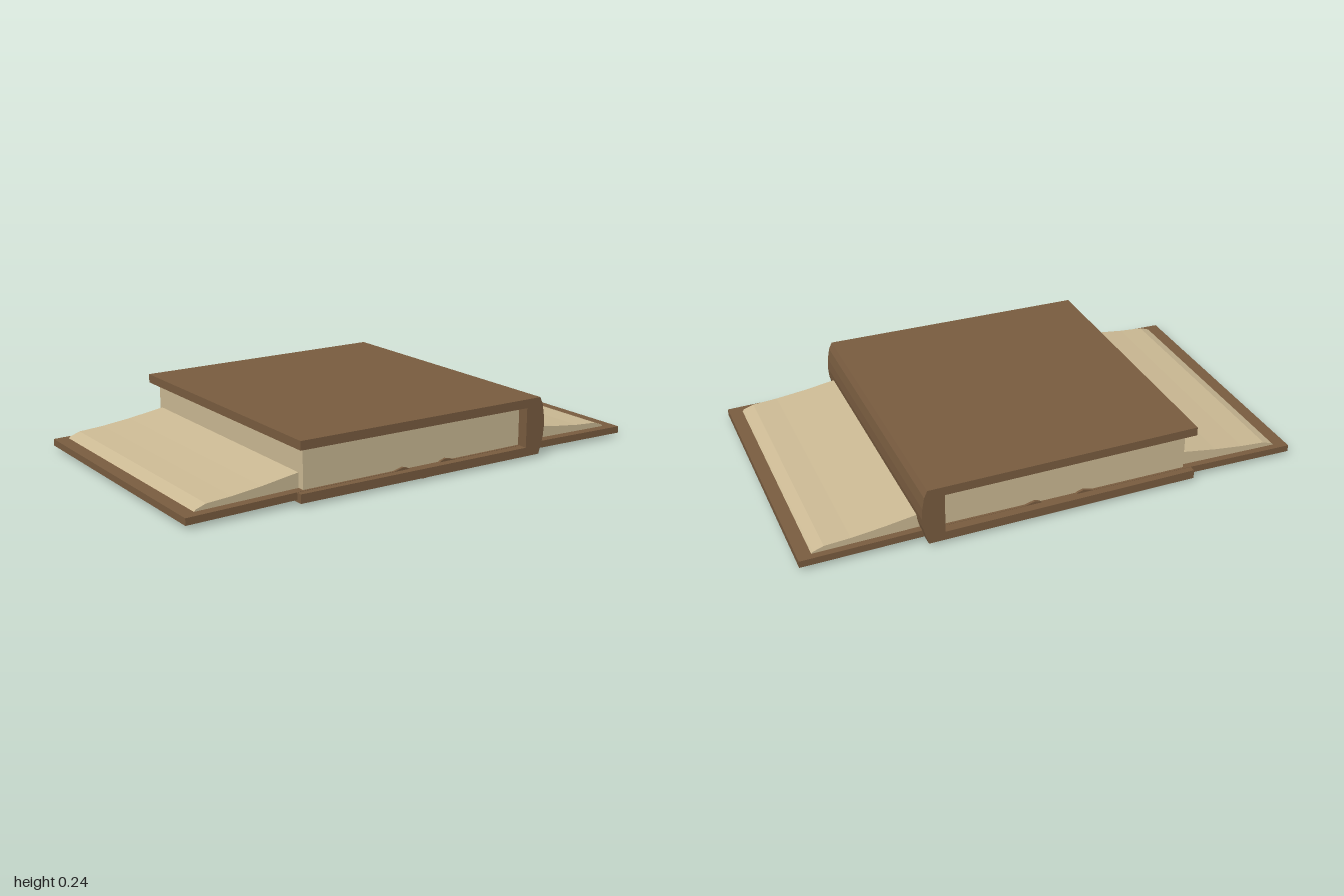
import * as THREE from 'three';

const leather = new THREE.MeshStandardMaterial({ color: 0x7a5d40 });
leather.name = 'brown leather';
const paper = new THREE.MeshStandardMaterial({ color: 0xcdbb95 });
paper.name = 'cream paper';

// Extrudes a front-view outline from z0 to z1
function slab(name, points, z0, z1, material) {
  const shape = new THREE.Shape(points.map(([x, y]) => new THREE.Vector2(x, y)));
  const geometry = new THREE.ExtrudeGeometry(shape, { depth: z1 - z0, bevelEnabled: false });
  geometry.translate(0, 0, z0);
  const mesh = new THREE.Mesh(geometry, material);
  mesh.name = name;
  return mesh;
}

// Completes a right-hand half profile with its mirror image
function mirrored(half) {
  const left = half.filter(([x]) => x > 0).map(([x, y]) => [-x, y]).reverse();
  return [...half, ...left];
}

export function createModel() {
  const group = new THREE.Group();
  group.name = 'stackedBooks';

  // Open book: two boards joined by a sagging spine
  const boardTop = [[0, 0.02], [0.04, 0.03], [0.08, 0.055], [0.1, 0.06], [0.14, 0.05], [0.55, 0.05], [1, 0.042]];
  const boardBottom = [[1, 0.015], [0.55, 0.022], [0.12, 0.026], [0.07, 0.012], [0.04, 0.003], [0, 0]];
  const right = [...boardBottom].reverse().concat([...boardTop].reverse());
  const left = right.slice(1, -1).map(([x, y]) => [-x, y]).reverse();
  group.add(slab('openCover', [...right, ...left], -0.562, 0.56, leather));

  // Open book: page blocks that swell towards the gutter
  const pages = [[0.02, 0.04], [0.95, 0.04], [0.94, 0.05], [0.9, 0.064], [0.8, 0.071],
    [0.68, 0.085], [0.55, 0.105], [0.4, 0.125], [0.25, 0.14], [0.1, 0.13], [0.02, 0.08]];
  group.add(slab('openPagesLeft', pages, -0.535, 0.522, paper));
  group.add(slab('openPagesRight', pages.map(([x, y]) => [-x, y]), -0.535, 0.522, paper));

  // Closed book: boards and rounded spine in one outline
  const cover = slab('closedCover', [[-0.56, 0.014], [0.53, 0.014], [0.541, 0.05], [0.55, 0.085],
    [0.554, 0.127], [0.551, 0.17], [0.543, 0.215], [0.53, 0.243], [-0.56, 0.243], [-0.56, 0.208],
    [0.465, 0.208], [0.465, 0.049], [-0.56, 0.049]], -0.6, 0.597, leather);

  // The closed boards narrow slightly away from the spine
  const position = cover.geometry.attributes.position;
  for (let i = 0; i < position.count; i++) {
    const t = (0.554 - position.getX(i)) / 1.114;
    position.setZ(i, position.getZ(i) * (1 - 0.021 * t));
  }
  cover.geometry.computeVertexNormals();
  group.add(cover);

  // Closed book: page block
  group.add(slab('closedPages', [[-0.53, 0.045], [0.47, 0.045], [0.47, 0.21], [-0.53, 0.21]],
    -0.552, 0.55, paper));

  return group;
}
